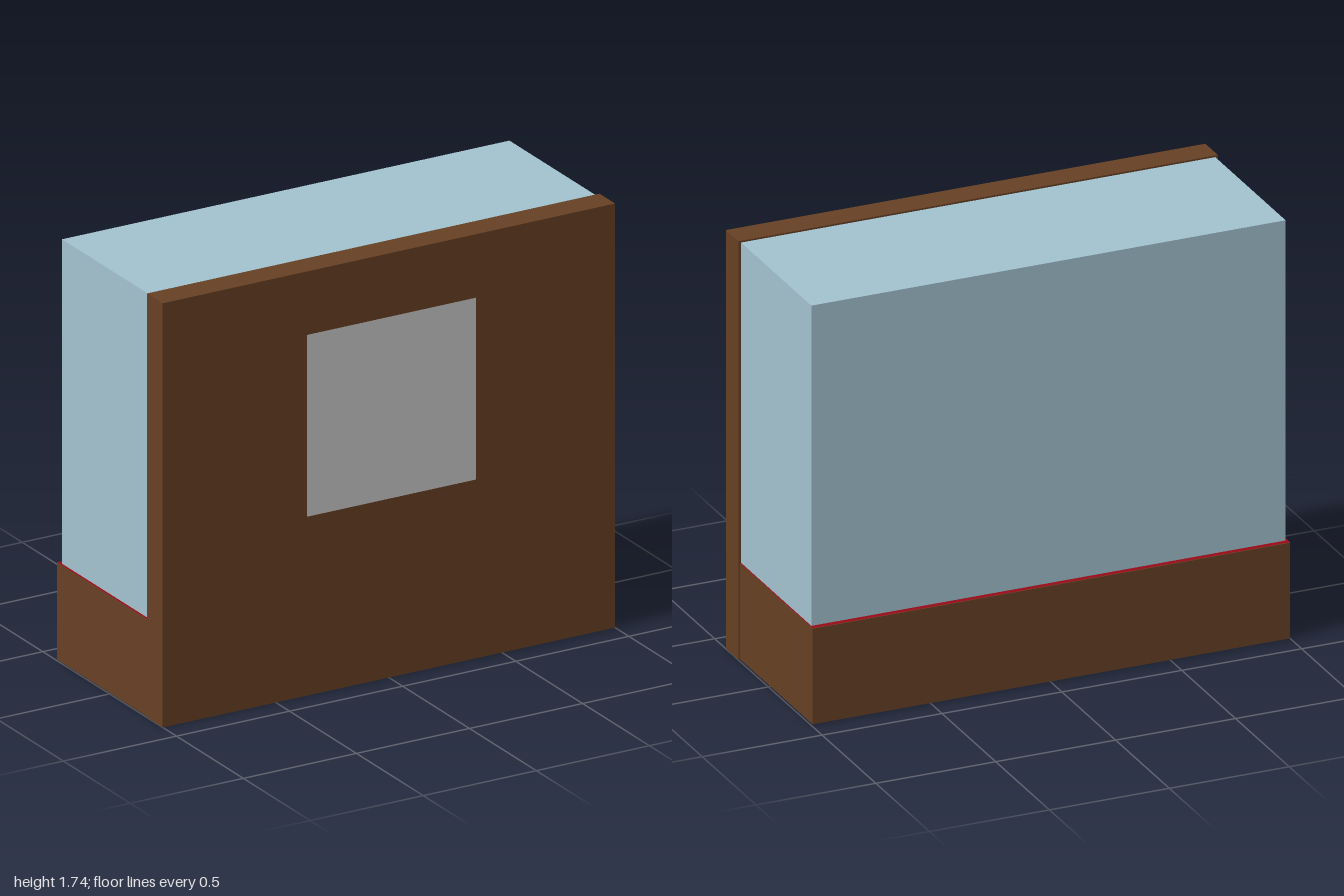
import * as THREE from 'three';

const material = (color) => new THREE.MeshStandardMaterial({ color });

// Box given by its [min, max] extent along each axis
function slab(name, [x0, x1], [y0, y1], [z0, z1], mat) {
  const mesh = new THREE.Mesh(new THREE.BoxGeometry(x1 - x0, y1 - y0, z1 - z0), mat);
  mesh.name = name;
  mesh.position.set((x0 + x1) / 2, (y0 + y1) / 2, (z0 + z1) / 2);
  return mesh;
}

export function createModel() {
  const group = new THREE.Group();
  group.name = 'displayCase';
  const wood = material(0x674024);
  const glass = material(0xa3c2d0);
  const felt = material(0x960c17);
  const grey = material(0xcccccc);

  // Upright front board and the low plinth behind it
  group.add(slab('frontPanel', [-1, 1], [0, 1.74], [0.28, 0.397], wood));
  group.add(slab('base', [-0.998, 0.994], [0.003, 0.4], [-0.398, 0.28], wood));

  // Red lining on top of the plinth
  const lining = new THREE.Mesh(new THREE.PlaneGeometry(1.992, 0.678), felt);
  lining.name = 'lining';
  lining.rotation.x = -Math.PI / 2;
  lining.position.set(-0.002, 0.402, -0.059);
  group.add(lining);

  // Glass case standing on the plinth
  group.add(slab('glassCase', [-0.989, 0.989], [0.402, 1.733], [-0.375, 0.28], glass));

  // Square plate on the front board
  const plate = new THREE.Mesh(new THREE.PlaneGeometry(0.746, 0.746), grey);
  plate.name = 'plate';
  plate.position.set(0.01, 1.108, 0.4);
  group.add(plate);

  return group;
}
